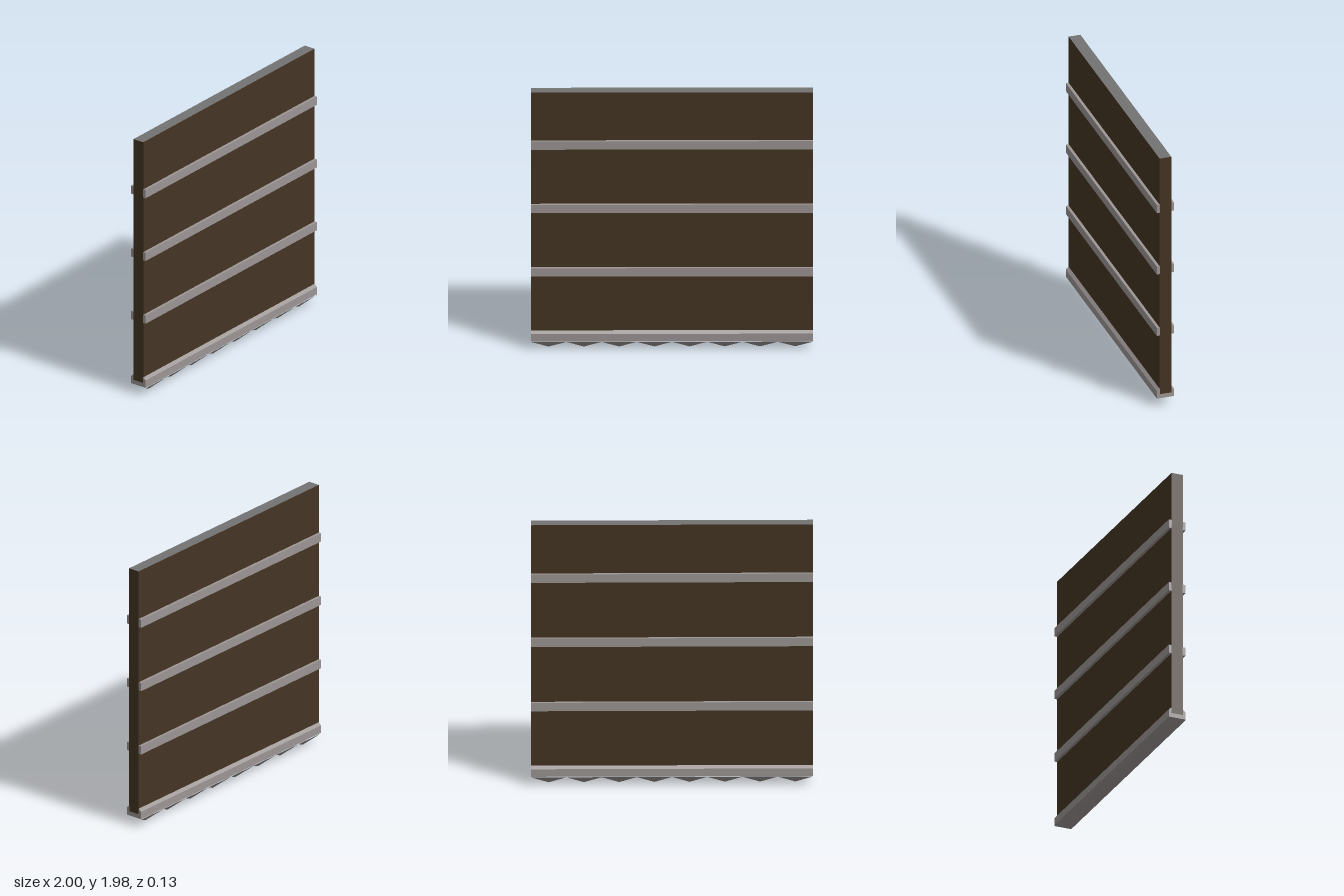
import * as THREE from 'three';

const mat = (name, color) => {
  const m = new THREE.MeshStandardMaterial({ color });
  m.name = name;
  return m;
};

export function createModel() {
  const wood = mat('dark wood', 0x443423);
  const metal = mat('grey metal', 0x9c9694);
  const topGrey = mat('top grey', 0x747373);

  const group = new THREE.Group();
  group.name = 'portcullisGate';
  const add = (name, geometry, material, y = 0) => {
    const mesh = new THREE.Mesh(geometry, material);
    mesh.name = name;
    mesh.position.y = y;
    group.add(mesh);
    return mesh;
  };

  // Wooden panel with a grey top face (box side order: +x -x +y -y +z -z)
  add('panel', new THREE.BoxGeometry(2, 1.88, 0.088),
    [wood, wood, topGrey, wood, wood, wood], 1.04);

  // Metal bands on both faces, leaving the panel ends bare
  [0.6, 1.09, 1.58].forEach((y, i) => {
    for (const side of [1, -1]) {
      const band = add(`band${i + 1}${side > 0 ? 'Front' : 'Back'}`,
        new THREE.BoxGeometry(2, 0.064, 0.025), metal, y);
      band.position.z = side * 0.0525;
    }
  });

  // Bottom rail: a channel with sloped lips that hugs the panel
  const rail = new THREE.Shape([
    [-0.065, 0.068], [0.065, 0.068], [0.065, 0.125], [0.043, 0.145],
    [0.043, 0.1], [-0.043, 0.1], [-0.043, 0.145], [-0.065, 0.125],
  ].map(([z, y]) => new THREE.Vector2(z, y)));
  const railGeo = new THREE.ExtrudeGeometry(rail, { depth: 2, bevelEnabled: false });
  railGeo.translate(0, 0, -1).rotateY(Math.PI / 2);
  add('bottomRail', railGeo, metal);

  // Row of eight pointed teeth; shared corners give soft shading
  const teeth = 8, step = 2 / teeth, pos = [], index = [];
  for (let i = 0; i <= teeth; i++) {
    const x = -1 + i * step;
    pos.push(x, 0.068, 0.065, x, 0.068, -0.065);
  }
  for (let i = 0; i < teeth; i++) {
    const tip = pos.length / 3;
    pos.push(-1 + (i + 0.5) * step, 0.005, 0);
    const f0 = 2 * i, b0 = f0 + 1, f1 = f0 + 2, b1 = f0 + 3;
    index.push(tip, f1, f0, tip, b0, b1, tip, f0, b0, tip, b1, f1);
  }
  const teethGeo = new THREE.BufferGeometry();
  teethGeo.setAttribute('position', new THREE.Float32BufferAttribute(pos, 3));
  teethGeo.setIndex(index);
  teethGeo.computeVertexNormals();
  add('teeth', teethGeo, metal, -0.005);

  return group;
}
